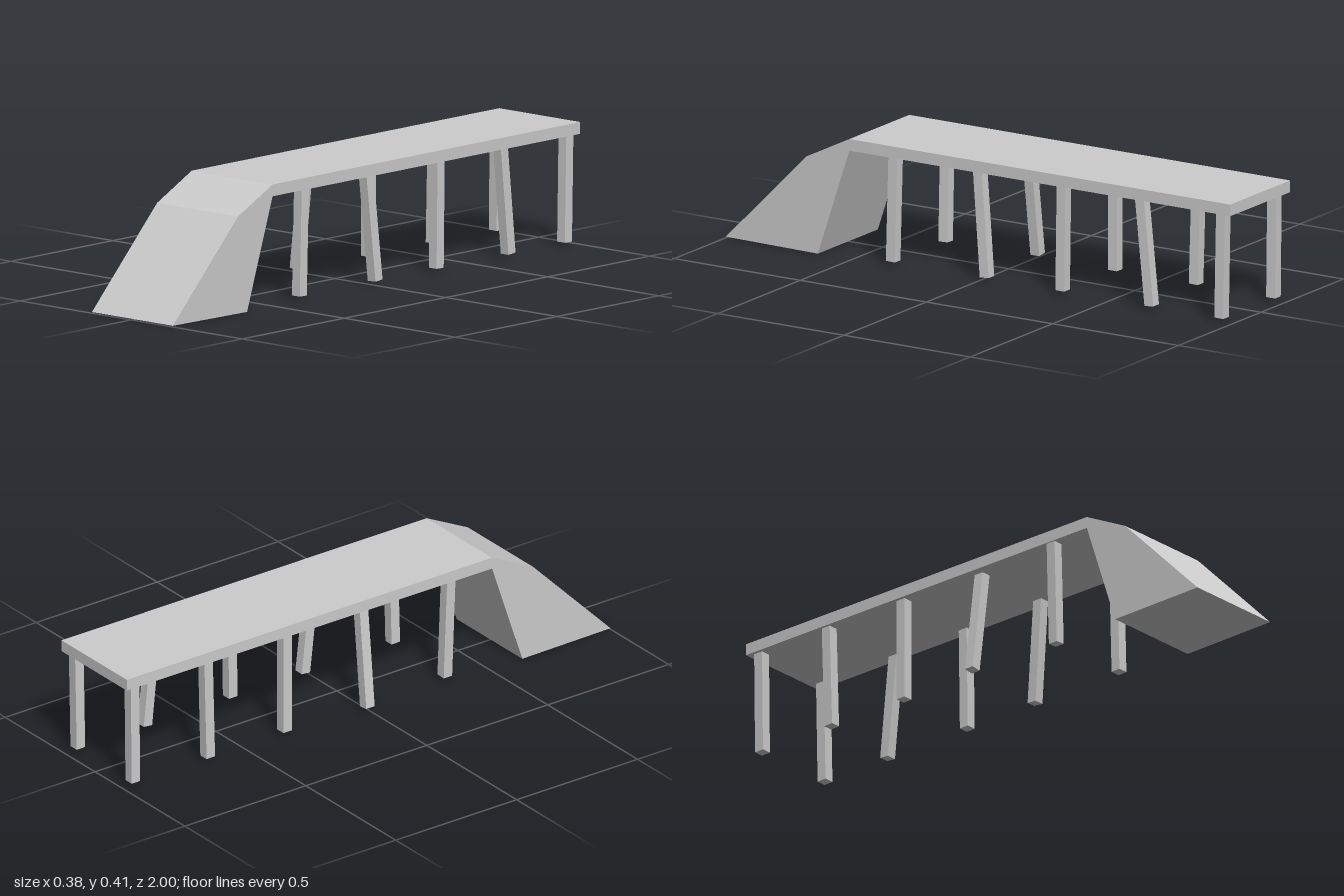
import * as THREE from 'three';

export function createModel() {
  const group = new THREE.Group();
  const material = new THREE.MeshStandardMaterial({ color: 0xcccccc, flatShading: true });

  // Deck and ramp share one side profile (z, y), extruded across the width
  const profile = [
    [1, 0.004], [0.635, 0], [0.51, 0.373], [-1, 0.373],
    [-1, 0.413], [0.51, 0.413], [0.68, 0.328],
  ].map(([z, y]) => new THREE.Vector2(z, y));
  const deckGeometry = new THREE.ExtrudeGeometry(new THREE.Shape(profile), { depth: 0.364, bevelEnabled: false });
  deckGeometry.rotateY(-Math.PI / 2).translate(0.187, 0, 0);
  const deck = new THREE.Mesh(deckGeometry, material);
  deck.name = 'deckAndRamp';
  group.add(deck);

  // Square posts, slightly crooked: [top x, top z, bottom x, bottom z]
  const posts = {
    left: [
      [0.163, 0.342, 0.163, 0.352],
      [0.153, 0.014, 0.163, -0.02],
      [0.163, -0.325, 0.163, -0.32],
      [0.163, -0.635, 0.163, -0.673],
      [0.163, -0.957, 0.163, -0.95],
    ],
    right: [
      [-0.155, 0.345, -0.14, 0.342],
      [-0.127, 0.003, -0.172, -0.002],
      [-0.147, -0.326, -0.147, -0.326],
      [-0.15, -0.655, -0.149, -0.645],
      [-0.147, -0.957, -0.147, -0.953],
    ],
  };
  const up = new THREE.Vector3(0, 1, 0);
  for (const [side, row] of Object.entries(posts)) {
    row.forEach(([tx, tz, bx, bz], i) => {
      const top = new THREE.Vector3(tx, 0.38, tz);
      const bottom = new THREE.Vector3(bx, 0.013, bz);
      const axis = top.clone().sub(bottom);
      const post = new THREE.Mesh(new THREE.BoxGeometry(0.035, axis.length(), 0.035), material);
      post.position.addVectors(top, bottom).multiplyScalar(0.5);
      post.quaternion.setFromUnitVectors(up, axis.normalize());
      post.name = `${side}Post${i + 1}`;
      group.add(post);
    });
  }
  return group;
}
